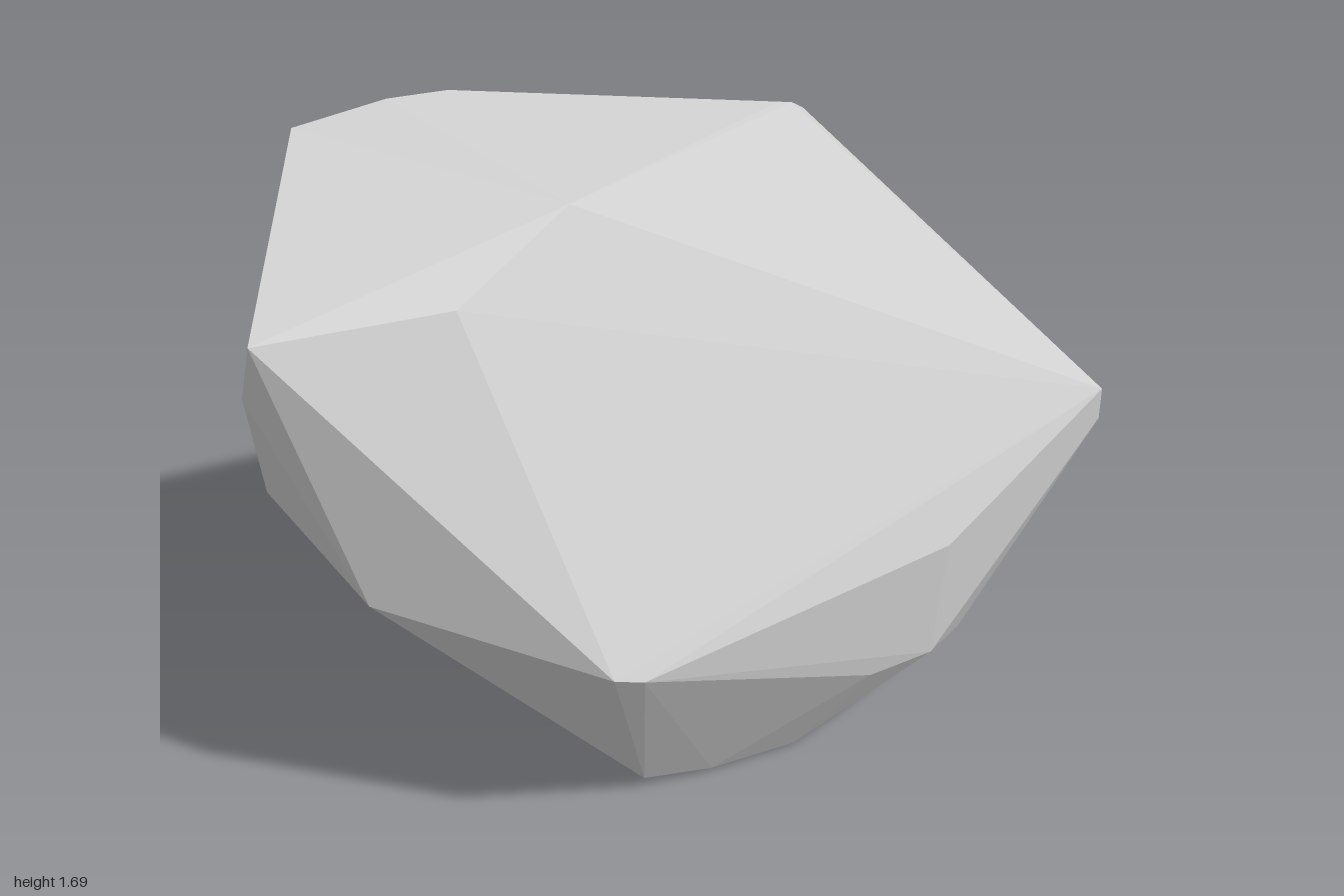
import * as THREE from 'three';
import { ConvexGeometry } from 'three/addons/geometries/ConvexGeometry.js';

// Corner points of the boulder, grouped by region
const crown = [
  [-0.64, 1.69, -0.57], [-0.37, 1.69, -0.56], [-0.2, 1.67, -0.54],
  [0.62, 1.51, -0.21], [0.66, 1.5, -0.2], [-0.2, 1.54, -0.06], [-0.55, 1.38, -0.05],
];
const leftSide = [
  [0.69, 1.48, -0.19], [0.8, 1.36, -0.18], [0.89, 1.15, -0.18], [0.89, 1.0, -0.2],
  [1.0, 0.88, 0.65], [1.0, 0.79, 0.65], [0.99, 0.72, 0.62], [0.97, 0.67, 0.55],
  [0.93, 0.61, 0.42], [0.85, 0.49, 0.25], [0.66, 0.2, 0.52],
];
const front = [
  [0.45, 0.63, 0.65], [-0.43, 0.54, 0.49], [-0.5, 0.56, 0.46],
  [0.23, 0.3, 0.61], [0.41, 0.31, 0.65],
];
const base = [
  [0.2, 0.0, 0.4], [0.14, 0.01, 0.43], [-0.1, 0.015, 0.37], [-0.28, 0.04, 0.31],
];
const rightSide = [
  [-0.87, 0.69, -0.02], [-0.93, 0.88, -0.35], [-0.93, 1.12, -0.42],
  [-1.0, 1.2, -0.3], [-1.0, 1.36, -0.25],
];
const back = [
  [-0.63, 1.6, -0.6], [-0.63, 1.17, -0.63], [0.0, 1.0, -0.65], [0.1, 0.98, -0.64],
  [0.37, 1.42, -0.55], [0.3, 1.44, -0.56], [0.38, 0.97, -0.6], [0.62, 0.8, -0.39],
];

export function createModel() {
  const points = [crown, leftSide, front, base, rightSide, back]
    .flat()
    .map((p) => new THREE.Vector3(...p));
  // Faceted stone: the hull around all corners
  const boulder = new THREE.Mesh(
    new ConvexGeometry(points),
    new THREE.MeshStandardMaterial({ color: 0xcccccc, flatShading: true })
  );
  boulder.name = 'boulder';
  const group = new THREE.Group();
  group.name = 'rock';
  group.add(boulder);
  return group;
}
